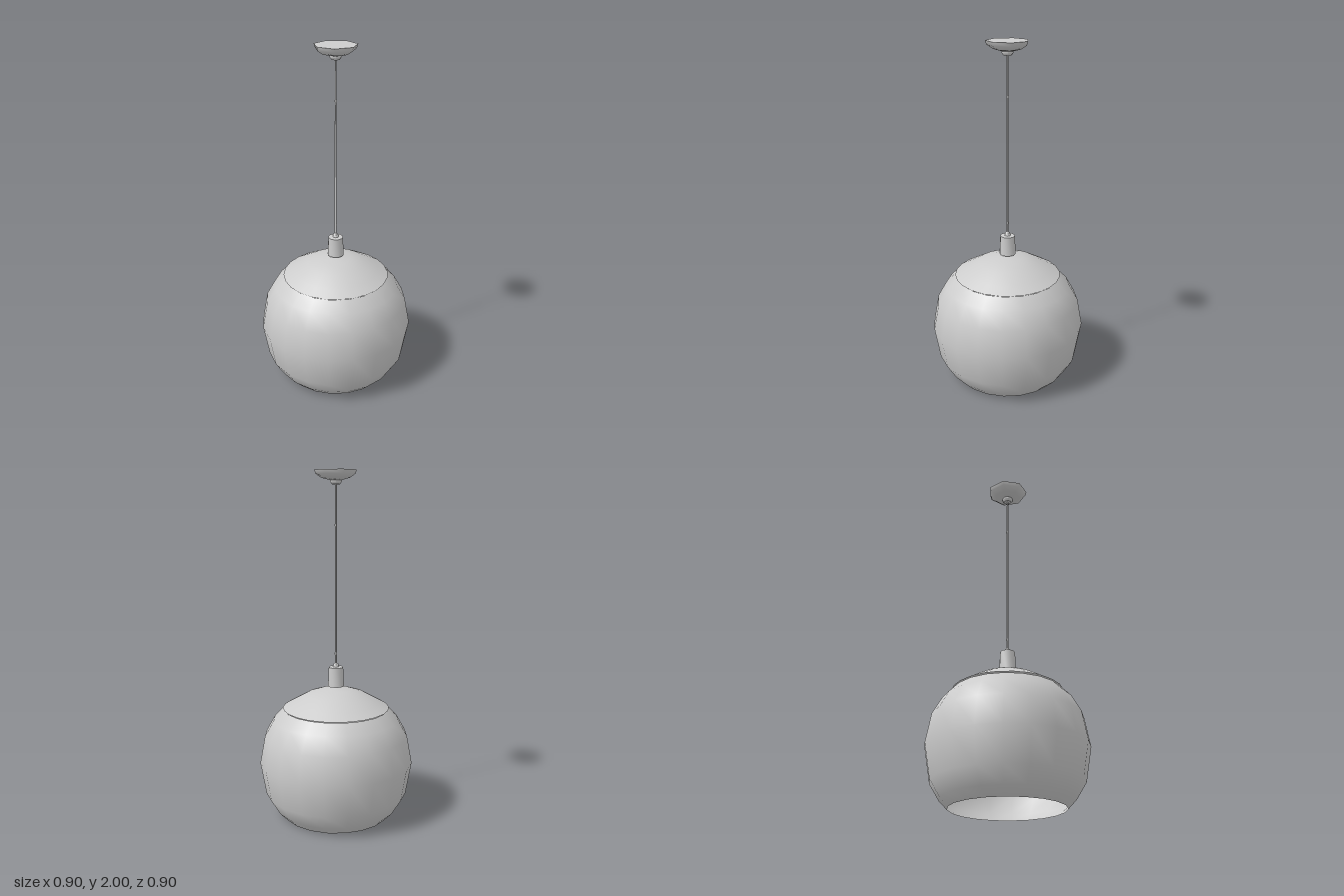
import * as THREE from 'three';
import { toCreasedNormals } from 'three/addons/utils/BufferGeometryUtils.js';

export function createModel() {
  const group = new THREE.Group();
  group.name = 'pendantLamp';
  const grey = new THREE.MeshStandardMaterial({ color: 0xcccccc, side: THREE.DoubleSide });
  grey.name = 'lightGrey';

  // Turned part from [radius, height] pairs listed bottom to top
  const turned = (name, profile, sides, crease) => {
    let geo = new THREE.LatheGeometry(profile.map(([r, y]) => new THREE.Vector2(r, y)), sides);
    if (crease) geo = toCreasedNormals(geo, crease);
    const mesh = new THREE.Mesh(geo, grey);
    mesh.name = name;
    group.add(mesh);
    return mesh;
  };

  // Open-bottomed globe shade
  turned('globeShade', [
    [0.315, 0.003], [0.36, 0.05], [0.415, 0.14], [0.448, 0.33],
    [0.418, 0.49], [0.365, 0.585], [0.305, 0.645],
  ], 20);

  // Shallow dome closing the top of the shade
  turned('shadeCap', [[0.31, 0.65], [0.25, 0.685], [0.17, 0.73], [0.09, 0.757], [0, 0.765]], 24);

  // Lamp socket with a small cord grip
  turned('socket', [[0, 0.777], [0.048, 0.777], [0.043, 0.89], [0, 0.892]], 12, 1.0);
  turned('cordGrip', [[0.017, 0.89], [0.014, 0.908], [0.005, 0.916]], 8, 1.0);

  // Cord, with two little ties
  turned('cord', [[0.006, 0.9], [0.005, 1.93]], 6);
  for (const y of [0.97, 1.7]) {
    const tie = new THREE.Mesh(new THREE.CylinderGeometry(0.007, 0.007, 0.012, 6), grey);
    tie.name = 'cordTie';
    tie.position.set(0.002, y, 0);
    group.add(tie);
  }

  // Seven-sided ceiling canopy and the collar beneath it
  turned('canopy', [[0, 1.945], [0.035, 1.945], [0.08, 1.956], [0.113, 1.978], [0.12, 2], [0, 2]], 7, 1.0);
  turned('canopyCollar', [[0, 1.922], [0.022, 1.922], [0.032, 1.935], [0.032, 1.95]], 8, 0.9);

  return group;
}
